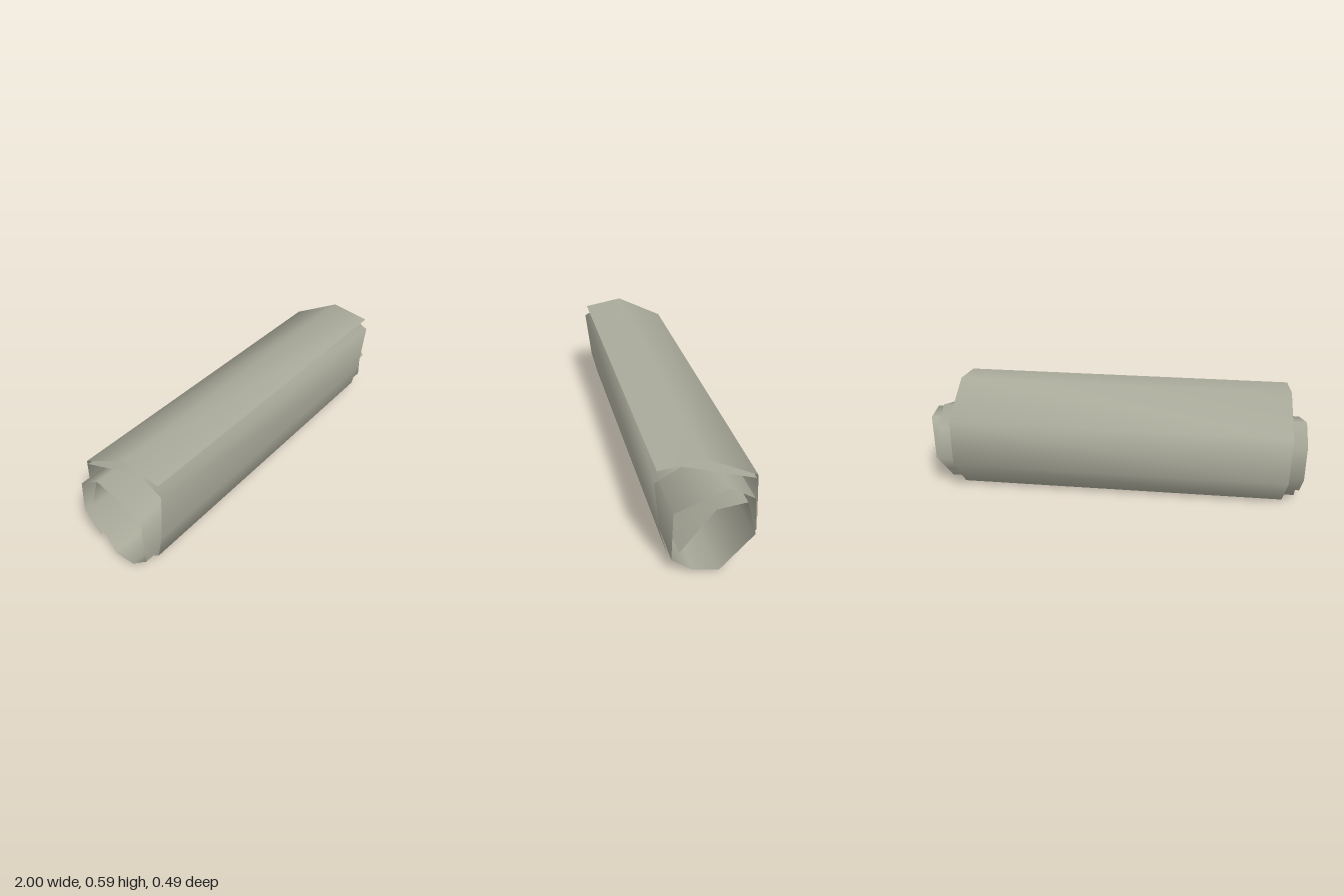
import * as THREE from 'three';

const paper = new THREE.MeshStandardMaterial({ color: 0xaaaa9b, side: THREE.DoubleSide });
paper.name = 'greyBeige';

// Rolled sheet: each profile row is [z, y, leftX, rightX]; smooth across the rows.
function rolledSheet(name, rows) {
  const positions = [];
  const index = [];
  rows.forEach(([z, y, x0, x1], i) => {
    positions.push(x0, y, z, x1, y, z);
    if (i > 0) {
      const a = 2 * i - 2;
      index.push(a, a + 2, a + 1, a + 1, a + 2, a + 3);
    }
  });
  const geometry = new THREE.BufferGeometry();
  geometry.setAttribute('position', new THREE.Float32BufferAttribute(positions, 3));
  geometry.setIndex(index);
  geometry.computeVertexNormals();
  const mesh = new THREE.Mesh(geometry, paper);
  mesh.name = name;
  return mesh;
}

export function createModel() {
  const group = new THREE.Group();
  group.name = 'rolledSheets';

  // Outer wrap with overlapping flap at the top
  const outer = [
    [0.235, 0.562], [0.025, 0.592], [-0.232, 0.453], [-0.246, 0.197], [-0.083, 0.002],
    [0.079, 0.009], [0.19, 0.084], [0.222, 0.225], [0.248, 0.5], [0.128, 0.568], [-0.226, 0.437],
  ].map(([z, y]) => [z, y, -0.92, 0.855]);
  group.add(rolledSheet('outerSheet', outer));

  // Inner spiral; its innermost turn slides out at the +x end
  const inner = [
    [-0.12, 0.09, 0], [-0.21, 0.207, 0], [-0.193, 0.39, 0], [-0.073, 0.471, 0],
    [0.183, 0.383, 0], [0.19, 0.115, 0], [0.092, 0.029, 0], [-0.038, 0.008, 0.01],
    [-0.195, 0.208, 0.03], [-0.135, 0.423, 0.052], [0.012, 0.423, 0.064], [0.175, 0.213, 0.065],
  ].map(([z, y, slide]) => [z, y, -1 + slide, 0.935 + slide]);
  group.add(rolledSheet('innerSheet', inner));

  return group;
}
